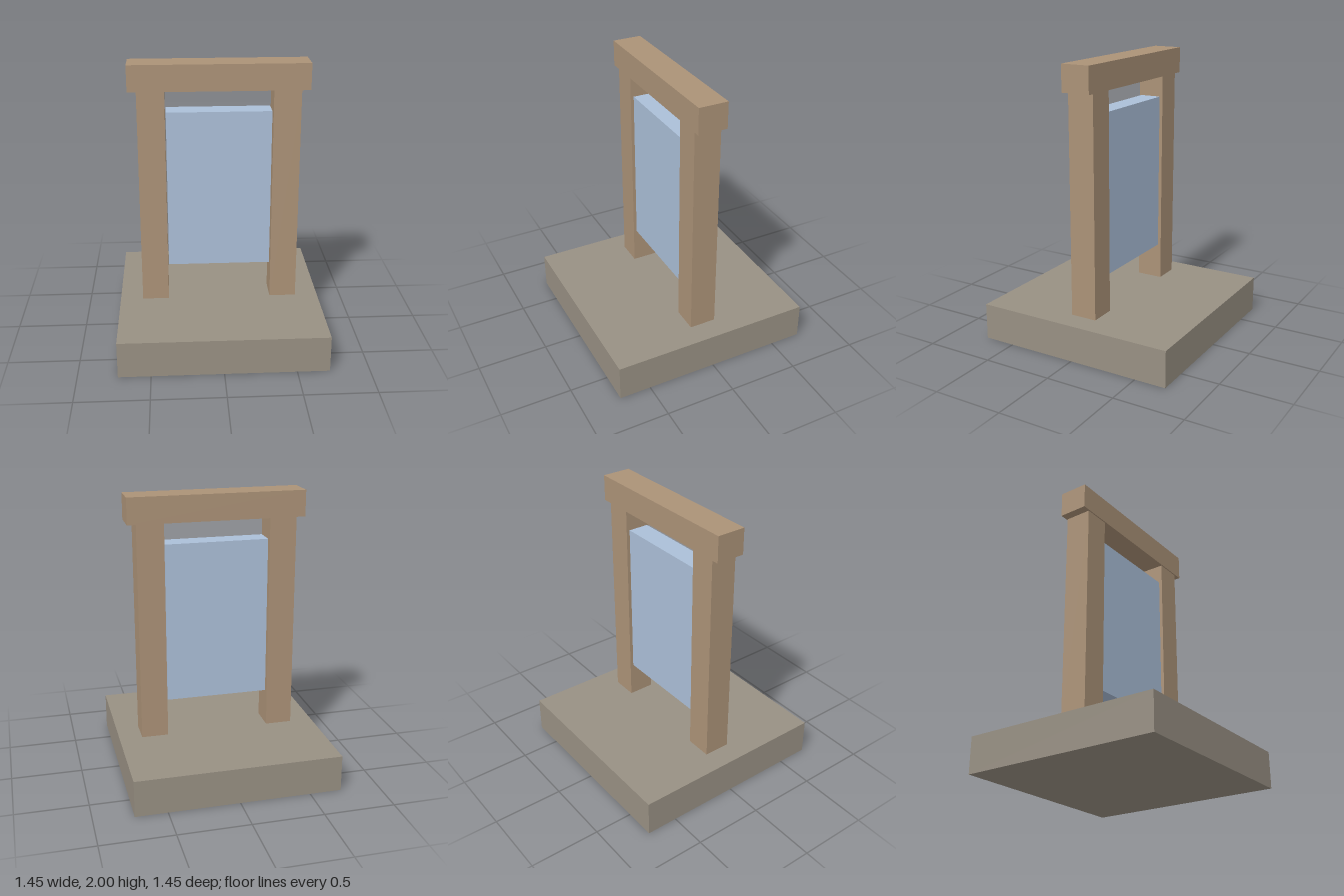
import * as THREE from 'three';

export function createModel() {
  const group = new THREE.Group();
  const stone = new THREE.MeshStandardMaterial({ color: 0x989083 });
  const wood = new THREE.MeshStandardMaterial({ color: 0xab9277 });
  const blue = new THREE.MeshStandardMaterial({ color: 0xabbfd8 });

  // Box of size w, h, d standing on height y
  function box(name, material, w, h, d, x, y) {
    const mesh = new THREE.Mesh(new THREE.BoxGeometry(w, h, d), material);
    mesh.name = name;
    mesh.position.set(x, y + h / 2, 0);
    group.add(mesh);
  }

  // Square plinth
  box('base', stone, 1.45, 0.26, 1.45, 0, 0);

  // Two posts carrying the beam
  for (const [name, side] of [['leftPost', 1], ['rightPost', -1]]) {
    box(name, wood, 0.19, 1.555, 0.19, side * 0.467, 0.26);
  }
  box('topBeam', wood, 1.245, 0.185, 0.207, 0, 1.815);

  // Panel held between the posts
  box('panel', blue, 0.73, 1.14, 0.15, 0, 0.525);

  return group;
}
